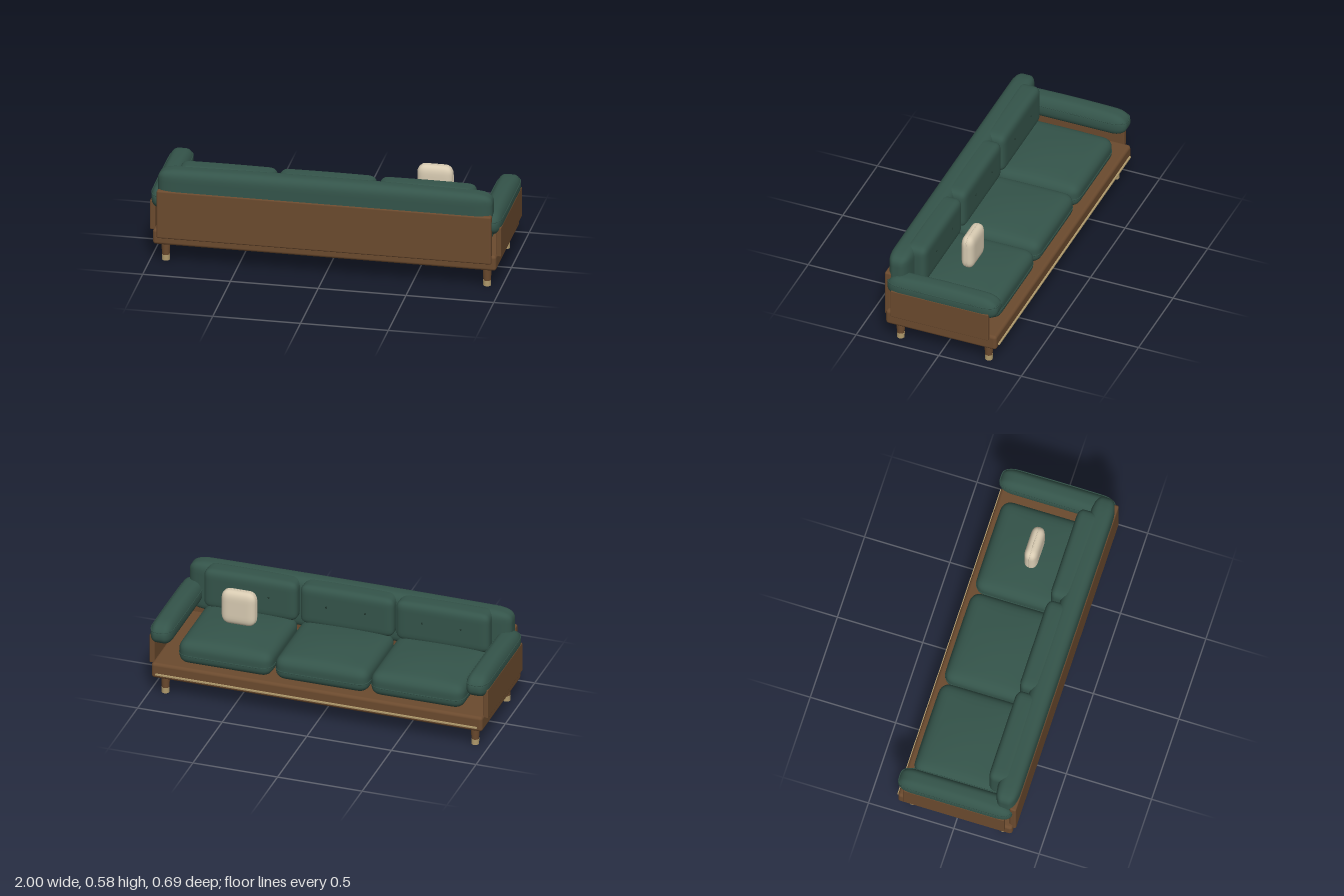
import * as THREE from 'three';
import { mergeVertices } from 'three/addons/utils/BufferGeometryUtils.js';
import { RoundedBoxGeometry } from 'three/addons/geometries/RoundedBoxGeometry.js';

const mat = (name, color) => {
  const m = new THREE.MeshStandardMaterial({ color });
  m.name = name;
  return m;
};

// Soft box with its own corner radius on each axis and a crowned top
function cushionGeometry(size, radii, crown = 0) {
  const g = new THREE.BoxGeometry(2, 2, 2, 22, 16, 22);
  g.deleteAttribute('uv');
  g.deleteAttribute('normal');
  const p = g.attributes.position;
  const d = new THREE.Vector3();
  for (let i = 0; i < p.count; i++) {
    const inner = [], half = size.map((s) => s / 2);
    const u = [p.getX(i), p.getY(i), p.getZ(i)];
    const off = u.map((v, k) => {
      const q = Math.sin((v * Math.PI) / 2) * half[k];
      const lim = half[k] - radii[k];
      inner[k] = THREE.MathUtils.clamp(q, -lim, lim);
      return (q - inner[k]) / radii[k];
    });
    d.fromArray(off).normalize();
    const x = inner[0] + d.x * radii[0];
    const z = inner[2] + d.z * radii[2];
    let y = inner[1] + d.y * radii[1];
    if (y > 0) y += crown * (y / half[1]) * (1 - (x / half[0]) ** 2) * (1 - (z / half[2]) ** 2);
    p.setXYZ(i, x, y, z);
  }
  const out = mergeVertices(g, 1e-5);
  out.computeVertexNormals();
  return out;
}

// Closed piping cord around a rounded rectangle lying in the xz plane
function pipingGeometry(w, d, rx, rz, thick) {
  const pts = [];
  [[1, 1], [-1, 1], [-1, -1], [1, -1]].forEach(([sx, sz], c) => {
    for (let i = 0; i <= 6; i++) {
      const t = (c + i / 6) * Math.PI / 2;
      pts.push(new THREE.Vector3(sx * (w / 2 - rx) + rx * Math.cos(t), 0, sz * (d / 2 - rz) + rz * Math.sin(t)));
    }
  });
  const path = new THREE.CatmullRomCurve3(pts, true, 'centripetal');
  return new THREE.TubeGeometry(path, 120, thick, 6, true);
}

export function createModel() {
  const model = new THREE.Group();
  model.name = 'sofa';
  const green = mat('green upholstery', 0x34544a);
  const wood = mat('walnut wood', 0x6b4a2e);
  const brass = mat('brass', 0xb09a6c);
  const cream = mat('cream fabric', 0xd8cbb2);
  const dark = mat('dark green button', 0x20362e);

  const add = (name, geo, material, x, y, z, parent = model) => {
    const m = new THREE.Mesh(geo, material);
    m.name = name;
    m.position.set(x, y, z);
    parent.add(m);
    return m;
  };
  // Box given by its limits on each axis
  const board = (name, [x0, x1], [y0, y1], [z0, z1], r) =>
    add(name, new RoundedBoxGeometry(x1 - x0, y1 - y0, z1 - z0, 4, r), wood,
      (x0 + x1) / 2, (y0 + y1) / 2, (z0 + z1) / 2);
  const cushion = (name, [x0, x1], [y0, y1], [z0, z1], radii, crown, material = green) =>
    add(name, cushionGeometry([x1 - x0, y1 - y0, z1 - z0], radii, crown), material,
      (x0 + x1) / 2, (y0 + y1) / 2, (z0 + z1) / 2);

  // Wooden frame
  board('basePlatform', [-0.978, 0.978], [0.113, 0.206], [-0.337, 0.333], 0.018);
  board('backPanel', [-0.953, 0.953], [0.158, 0.447], [0.31, 0.348], 0.01);
  add('brassTrim', new THREE.BoxGeometry(1.9, 0.008, 0.012), brass, 0, 0.141, -0.341);

  // Arms and legs, mirrored
  for (const s of [-1, 1]) {
    const span = (a, b) => (s > 0 ? [a, b] : [-b, -a]);
    board('armPanel', span(0.97, 1), [0.187, 0.365], [-0.298, 0.293], 0.005);
    cushion('armCushion', span(0.866, 0.999), [0.315, 0.442], [-0.34, 0.328], [0.045, 0.058, 0.085], 0.012);
    add('armPiping', pipingGeometry(0.13, 0.662, 0.045, 0.085, 0.003), green, s * 0.9325, 0.405, -0.006);
    for (const z of [-0.268, 0.265]) {
      const leg = new THREE.Group();
      leg.name = 'leg';
      leg.position.set(s * 0.915, 0, z);
      add('legShaft', new THREE.CylinderGeometry(0.026, 0.0215, 0.085, 24), wood, 0, 0.0745, 0, leg);
      add('legFerrule', new THREE.CylinderGeometry(0.0225, 0.022, 0.033, 24), brass, 0, 0.0165, 0, leg);
      model.add(leg);
    }
  }

  // Long bolster along the back
  cushion('backBolster', [-0.952, 0.952], [0.268, 0.566], [0.214, 0.343], [0.1, 0.045, 0.045], 0.009);

  // Three seats, each with a back cushion and two buttons
  for (const x of [-0.57, -0.005, 0.565]) {
    cushion('seatCushion', [x - 0.276, x + 0.276], [0.2, 0.342], [-0.294, 0.22], [0.06, 0.05, 0.06], 0.024);
    add('seatPiping', pipingGeometry(0.552, 0.514, 0.06, 0.06, 0.003), green, x, 0.262, -0.037);
    cushion('backCushion', [x - 0.276, x + 0.276], [0.33, 0.57], [0.149, 0.28], [0.045, 0.04, 0.035], 0.004);
    for (const s of [-1, 1]) {
      const button = add('button', new THREE.SphereGeometry(0.006, 12, 8), dark, x + s * 0.115, 0.465, 0.147);
      button.scale.z = 0.6;
    }
  }

  // Loose throw pillow with a cord around its edge
  cushion('throwPillow', [0.462, 0.664], [0.37, 0.58], [-0.062, 0.015], [0.045, 0.05, 0.03], 0, cream);
  const cord = add('pillowPiping', pipingGeometry(0.202, 0.208, 0.045, 0.05, 0.0025), cream, 0.563, 0.475, -0.0235);
  cord.rotation.x = Math.PI / 2;

  return model;
}
